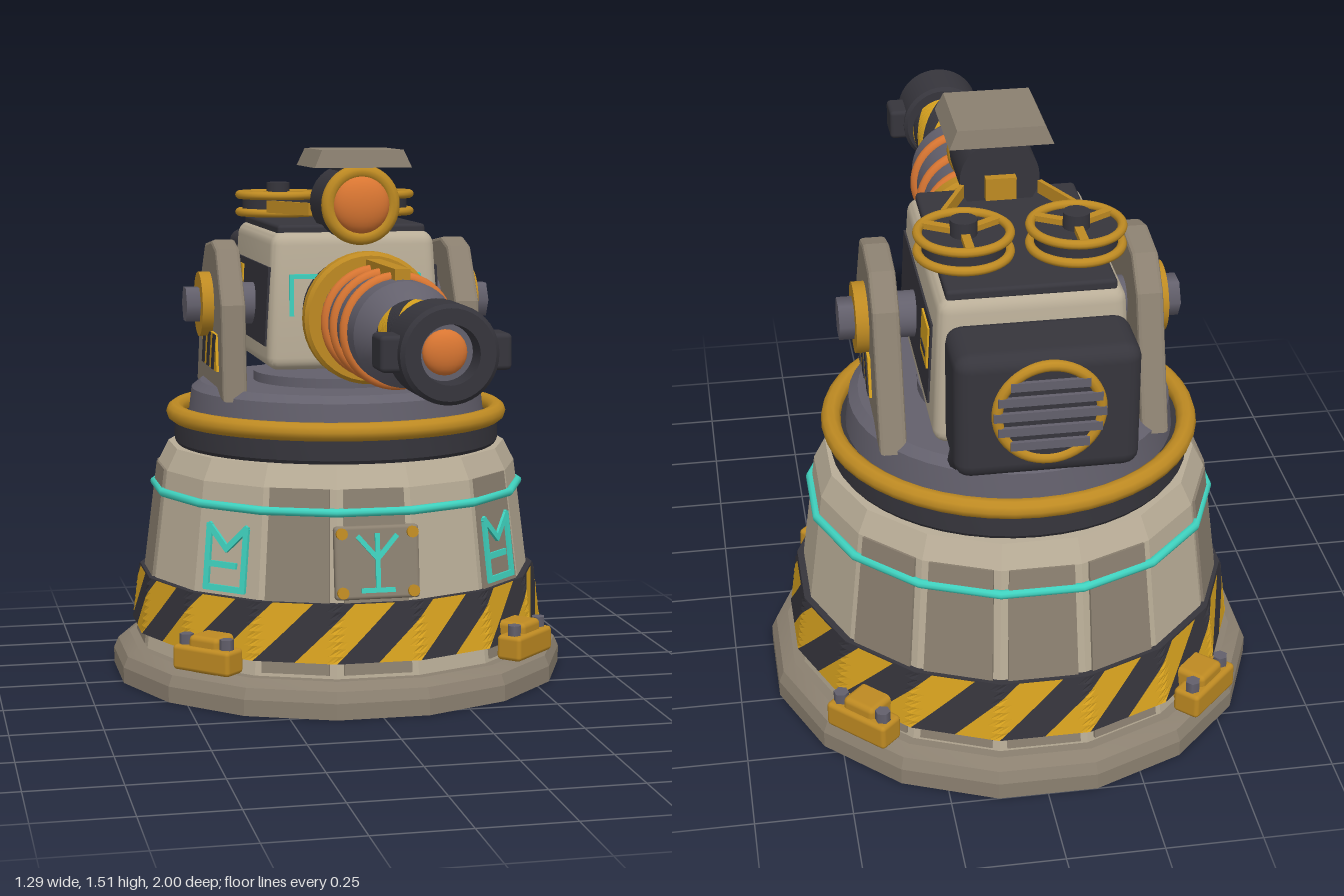
import * as THREE from 'three';
import { toCreasedNormals } from 'three/addons/utils/BufferGeometryUtils.js';
import { RoundedBoxGeometry } from 'three/addons/geometries/RoundedBoxGeometry.js';

const mat = (name, color) => {
  const m = new THREE.MeshStandardMaterial({ color });
  m.name = name;
  return m;
};
const PI = Math.PI, STEP = PI / 8, CZ = -0.355, TILT = 0.1256;

export function createModel() {
  const bone = mat('bone', 0xb9ad97), taupe = mat('taupe', 0x8b8070);
  const gold = mat('gold', 0xbe8a22), yellow = mat('hazardYellow', 0xd9a31f);
  const dark = mat('charcoal', 0x36353c), gun = mat('gunmetal', 0x63606c);
  const cyan = mat('cyan', 0x3fd2bf), orange = mat('orange', 0xd97632);

  const model = new THREE.Group();
  const group = (name, parent, x = 0, y = 0, z = 0) => {
    const g = new THREE.Group();
    g.name = name;
    g.position.set(x, y, z);
    parent.add(g);
    return g;
  };
  const add = (parent, name, geo, m, x = 0, y = 0, z = 0) => {
    const mesh = new THREE.Mesh(geo, m);
    mesh.name = name;
    mesh.position.set(x, y, z);
    parent.add(mesh);
    return mesh;
  };
  const box = (w, h, d) => new THREE.BoxGeometry(w, h, d);
  const cyl = (r, h, n = 32, r2 = r) => new THREE.CylinderGeometry(r2, r, h, n);
  const lathe = (pts, n = 40) =>
    toCreasedNormals(new THREE.LatheGeometry(pts.map(p => new THREE.Vector2(...p)), n), 0.3);
  const latheZ = pts => lathe(pts).rotateX(PI / 2);
  // sixteen-sided solid with a flat facing the front, radii measured to the flats
  const lathe16 = pts => lathe(pts.map(([r, y]) => [r / Math.cos(STEP / 2), y]), 16).rotateY(STEP / 2);
  const torus = (r, t, n = 48) => new THREE.TorusGeometry(r, t, 10, n);
  // narrows the upper half of a geometry
  const taper = (geo, sx, sz) => {
    geo.computeBoundingBox();
    const p = geo.attributes.position, { min, max } = geo.boundingBox;
    for (let i = 0; i < p.count; i++) {
      const t = (p.getY(i) - min.y) / (max.y - min.y);
      p.setX(i, p.getX(i) * (1 + (sx - 1) * t));
      p.setZ(i, p.getZ(i) * (1 + (sz - 1) * t));
    }
    return toCreasedNormals(geo, 0.5);
  };
  // band of slanted two-colour stripes around the y axis
  const hazardBand = (radius, y0, y1, pairs, twist) => {
    const pos = [], geo = new THREE.BufferGeometry(), N = 8, w = PI / pairs;
    const pt = (s, u, v) => {
      const a = (s + u / N) * w + twist * v / N, r = radius(a, v / N);
      return [Math.sin(a) * r, y0 + (y1 - y0) * v / N, Math.cos(a) * r];
    };
    for (let s = 0; s < pairs * 2; s++) {
      geo.addGroup(s * N * N * 6, N * N * 6, s % 2);
      for (let u = 0; u < N; u++) for (let v = 0; v < N; v++) {
        const a = pt(s, u, v), b = pt(s, u + 1, v), c = pt(s, u + 1, v + 1), d = pt(s, u, v + 1);
        pos.push(...a, ...b, ...c, ...a, ...c, ...d);
      }
    }
    geo.setAttribute('position', new THREE.Float32BufferAttribute(pos, 3));
    geo.computeVertexNormals();
    return geo;
  };
  const strokes = (parent, lines, w = 0.017) => lines.forEach(([x1, y1, x2, y2]) => {
    const len = Math.hypot(x2 - x1, y2 - y1);
    add(parent, 'glowStroke', box(len + w * 0.7, w, 0.009), cyan, (x1 + x2) / 2, (y1 + y2) / 2)
      .rotation.z = Math.atan2(y2 - y1, x2 - x1);
  });

  // Pedestal
  const base = group('pedestal', model, 0, 0, CZ);
  add(base, 'foot', lathe16([[0, 0], [0.645, 0], [0.645, 0.045], [0.632, 0.075], [0.6, 0.095], [0, 0.095]]), taupe);
  add(base, 'body', lathe16([[0.575, 0.09], [0.51, 0.605], [0.48, 0.665], [0, 0.665]]), bone);
  add(base, 'stripeBacking', lathe16([[0.56, 0.14], [0.586, 0.14], [0.566, 0.3], [0.54, 0.3]]), dark);
  add(base, 'hazardStripes', hazardBand((a, v) =>
    (0.59 - 0.02 * v) / Math.cos(a - Math.round(a / STEP) * STEP), 0.14, 0.3, 16, 0.28), [yellow, dark]);
  add(base, 'glowRing', torus(0.522 / Math.cos(STEP / 2), 0.012, 16).rotateX(PI / 2).rotateY(STEP / 2), cyan, 0, 0.543);

  // Things lying on one sloping facet
  const onFacet = (name, k, y, out = 0) => {
    const turn = group(name, base);
    turn.rotation.y = k * STEP;
    const g = group(name + 'Slope', turn, 0, y, 0.575 - 0.126 * (y - 0.09) + out);
    g.rotation.x = -TILT;
    return g;
  };
  for (const k of [0, 2, 6, 7, 8, 9, 11, 12, 15])
    add(onFacet('wallPanel', k, 0.355), 'panel', taper(box(0.19, 0.505, 0.014), 0.87, 1), taupe);
  const plate = onFacet('frontPlate', 0, 0.41, 0.016);
  add(plate, 'plate', new RoundedBoxGeometry(0.235, 0.2, 0.03, 2, 0.01), taupe);
  for (const x of [-0.098, 0.098]) for (const y of [-0.08, 0.08])
    add(plate, 'plateBolt', cyl(0.016, 0.016, 12).rotateX(PI / 2), gold, x, y, 0.018);
  const rune = group('frontRune', plate, 0, 0, 0.018);
  strokes(rune, [[0, -0.075, 0, 0.075], [0, 0.01, -0.052, 0.07], [0, 0.01, 0.052, 0.07], [-0.042, -0.075, 0.042, -0.075]], 0.013);
  for (const k of [-2, 2])
    strokes(onFacet('sideRune', k, 0.405, 0.011), [[-0.062, -0.085, -0.062, 0.085], [0.062, -0.085, 0.062, 0.085],
      [-0.062, 0.085, 0, 0.025], [0, 0.025, 0.062, 0.085], [-0.062, -0.085, 0.062, -0.085], [-0.062, -0.02, 0.03, -0.02]]);

  // Four clamps on the foot
  for (let i = 0; i < 4; i++) {
    const turn = group('clamp', base);
    turn.rotation.y = PI / 4 + i * PI / 2;
    add(turn, 'clampBlock', new RoundedBoxGeometry(0.1, 0.105, 0.1, 2, 0.015), gold, 0, 0.152, 0.61);
    add(turn, 'clampBar', new RoundedBoxGeometry(0.19, 0.07, 0.075, 2, 0.012), gold, 0, 0.14, 0.635);
    for (const x of [-0.068, 0.068])
      add(turn, 'clampBolt', cyl(0.02, 0.03, 6), gun, x, 0.188, 0.64);
  }

  // Turntable
  add(base, 'bearing', lathe([[0, 0.66], [0.46, 0.66], [0.47, 0.675], [0.47, 0.745], [0, 0.745]], 48), dark);
  add(base, 'bearingRing', torus(0.468, 0.026).rotateX(PI / 2), gold, 0, 0.755);
  add(base, 'turntable', lathe([[0.43, 0.74], [0.42, 0.825], [0.395, 0.845], [0, 0.845]], 48), gun);
  add(base, 'turntableCap', cyl(0.24, 0.03, 40), gun, 0, 0.857);

  // Yoke arms with pivots and striped plates
  const armShape = new THREE.Shape([[-0.12, 0.825], [-0.14, 1.08], [-0.235, 1.225], [-0.31, 1.245], [-0.43, 1.23],
    [-0.5, 1.155], [-0.61, 0.825]].map(p => new THREE.Vector2(...p)));
  const armGeo = new THREE.ExtrudeGeometry(armShape, { depth: 0.05, bevelSize: 0.01, bevelThickness: 0.01, bevelSegments: 2 })
    .rotateY(-PI / 2).translate(0.025, 0, 0);
  for (const s of [-1, 1]) {
    const arm = group('yokeArm', model);
    add(arm, 'armPlate', armGeo, taupe, s * 0.335);
    add(arm, 'pivotDisc', cyl(0.092, 0.035, 32).rotateZ(PI / 2), gold, s * 0.385, 1.07, -0.35);
    add(arm, 'pivotBolt', cyl(0.055, 0.05, 6).rotateZ(PI / 2), gun, s * 0.417, 1.07, -0.35);
    add(arm, 'pivotAxle', cyl(0.06, 0.14).rotateZ(PI / 2), gun, s * 0.27, 1.07, -0.35);
    add(arm, 'warningPlate', taper(box(0.008, 0.105, 0.28), 1, 0.87), yellow, s * 0.373, 0.945, -0.32);
    for (const z of [-0.41, -0.32, -0.23]) {
      const bar = new THREE.Shape([[z - 0.04, -0.051], [z + 0.0, -0.051], [z + 0.04, 0.051], [z, 0.051]]
        .map(p => new THREE.Vector2(...p)));
      add(arm, 'warningBar', new THREE.ExtrudeGeometry(bar, { depth: 0.004, bevelEnabled: false })
        .rotateY(-PI / 2).translate(0.002, 0, 0), dark, s * 0.378, 0.945, 0);
    }
  }

  // Head
  const head = group('head', model);
  add(head, 'headShell', taper(new RoundedBoxGeometry(0.5, 0.38, 0.68, 3, 0.035), 0.92, 0.9), bone, 0, 1.095, -0.405);
  add(head, 'roofPanel', new RoundedBoxGeometry(0.42, 0.03, 0.57, 2, 0.01), dark, 0, 1.29, -0.41);
  for (const s of [-1, 1]) {
    const side = group('sidePanel', head, s * 0.241, 1.08, -0.375);
    side.rotation.z = s * 0.053;
    add(side, 'panelInset', box(0.01, 0.22, 0.53), dark);
    add(side, 'warningLabel', box(0.02, 0.11, 0.11), yellow, 0, 0.035, -0.195);
    add(side, 'labelMark', box(0.024, 0.015, 0.07), dark, 0, 0.01, -0.195);
    strokes(group('faceLight', head, 0, 0, -0.082), [[s * 0.18, 1.165, s * 0.1, 1.165], [s * 0.18, 1.165, s * 0.18, 1.06]], 0.013);
  }

  // Rear power box with round grille and hose
  const rear = group('rearBox', model, 0, 1.085, -0.84);
  add(rear, 'rearCase', new RoundedBoxGeometry(0.45, 0.33, 0.2, 2, 0.04), dark);
  add(rear, 'grilleFrame', torus(0.125, 0.014).translate(0, 0.012, -0.1), gold);
  add(rear, 'grilleBack', cyl(0.12, 0.01).rotateX(PI / 2), dark, 0, 0.012, -0.1);
  for (let i = -2; i <= 2; i++)
    add(rear, 'grilleSlat', box(i % 2 ? 0.25 : i ? 0.19 : 0.27, 0.022, 0.02), gun, 0, 0.012 + i * 0.04, -0.106);
  const hosePath = new THREE.CatmullRomCurve3([[0.2, 0.98, -0.88], [0.2, 0.905, -0.81], [0.18, 0.868, -0.7], [0.14, 0.86, -0.58]]
    .map(p => new THREE.Vector3(...p)));
  add(model, 'hose', new THREE.TubeGeometry(hosePath, 24, 0.025, 10), dark);

  // Two reels with belts to the sight
  for (const s of [-1, 1]) {
    const reel = group('reel', model, s * 0.14, 0, -0.515);
    for (const y of [1.322, 1.372]) add(reel, 'reelRim', torus(0.114, 0.012).rotateX(PI / 2), gold, 0, y);
    add(reel, 'reelDrum', cyl(0.104, 0.05), dark, 0, 1.342);
    add(reel, 'reelHub', cyl(0.034, 0.1, 16), dark, 0, 1.358);
    for (let i = 0; i < 3; i++)
      add(reel, 'reelSpoke', box(0.022, 0.016, 0.085).translate(0, 0, 0.068), gold, 0, 1.374).rotation.y = PI + i * PI * 2 / 3;
    add(model, 'belt', box(0.012, 0.035, 0.2), gold, s * 0.145, 1.343, -0.31).rotation.y = -s * 0.46 + PI;
  }

  // Sight with hood
  const sight = group('sight', model, 0, 1.365, 0);
  add(sight, 'sightBody', cyl(0.104, 0.19).rotateX(PI / 2), dark, 0, 0, -0.11);
  add(sight, 'sightRing', torus(0.09, 0.02), gold, 0, 0, -0.01);
  add(sight, 'lens', new THREE.SphereGeometry(0.08, 32, 16).scale(1, 1, 0.5), orange, 0, 0, -0.005);
  add(sight, 'sightClip', box(0.08, 0.06, 0.03), gold, 0, -0.02, -0.215);
  add(sight, 'hoodPost', box(0.1, 0.06, 0.14), dark, 0, 0.085, -0.11);
  add(sight, 'hood', taper(box(0.27, 0.048, 0.27), 0.84, 0.94), taupe, 0, 0.126, -0.105);

  // Barrel
  const gunBarrel = group('barrel', model, 0, 1.065, 0);
  add(gunBarrel, 'sleeve', latheZ([[0, -0.12], [0.15, -0.12], [0.15, 0.09], [0, 0.09]]), dark);
  add(gunBarrel, 'flange', latheZ([[0, 0.065], [0.17, 0.065], [0.18, 0.075], [0.18, 0.11], [0.17, 0.12], [0, 0.12]]), gold);
  add(gunBarrel, 'tube', latheZ([[0.136, 0.1], [0.136, 0.54], [0.125, 0.57], [0.1, 0.61], [0.085, 0.635], [0.085, 0.85]]), gun);
  for (const z of [0.2, 0.315, 0.445]) add(gunBarrel, 'coil', torus(0.136, 0.017), orange, 0, 0, z);
  add(gunBarrel, 'topRail', box(0.04, 0.03, 0.35), gold, 0, 0.148, 0.325);
  add(gunBarrel, 'bandCore', latheZ([[0, 0.63], [0.094, 0.63], [0.094, 0.81], [0, 0.81]]), dark);
  add(gunBarrel, 'barrelStripes', hazardBand(() => 0.098, 0.63, 0.81, 5, 1.1).rotateX(PI / 2), [yellow, dark]);
  add(gunBarrel, 'muzzle', latheZ([[0, 0.84], [0.11, 0.84], [0.12, 0.85], [0.12, 0.99], [0.11, 1], [0.072, 1], [0.068, 0.93]]), dark);
  add(gunBarrel, 'bore', cyl(0.07, 0.02).rotateX(PI / 2), gun, 0, 0, 0.93);
  add(gunBarrel, 'boreGlow', new THREE.SphereGeometry(0.055, 24, 12).scale(1, 1, 0.5), orange, 0, 0, 0.94);
  for (const s of [-1, 1])
    add(gunBarrel, 'muzzleLug', new RoundedBoxGeometry(0.07, 0.088, 0.105, 2, 0.012), dark, s * 0.125, 0, 0.91);
  return model;
}
